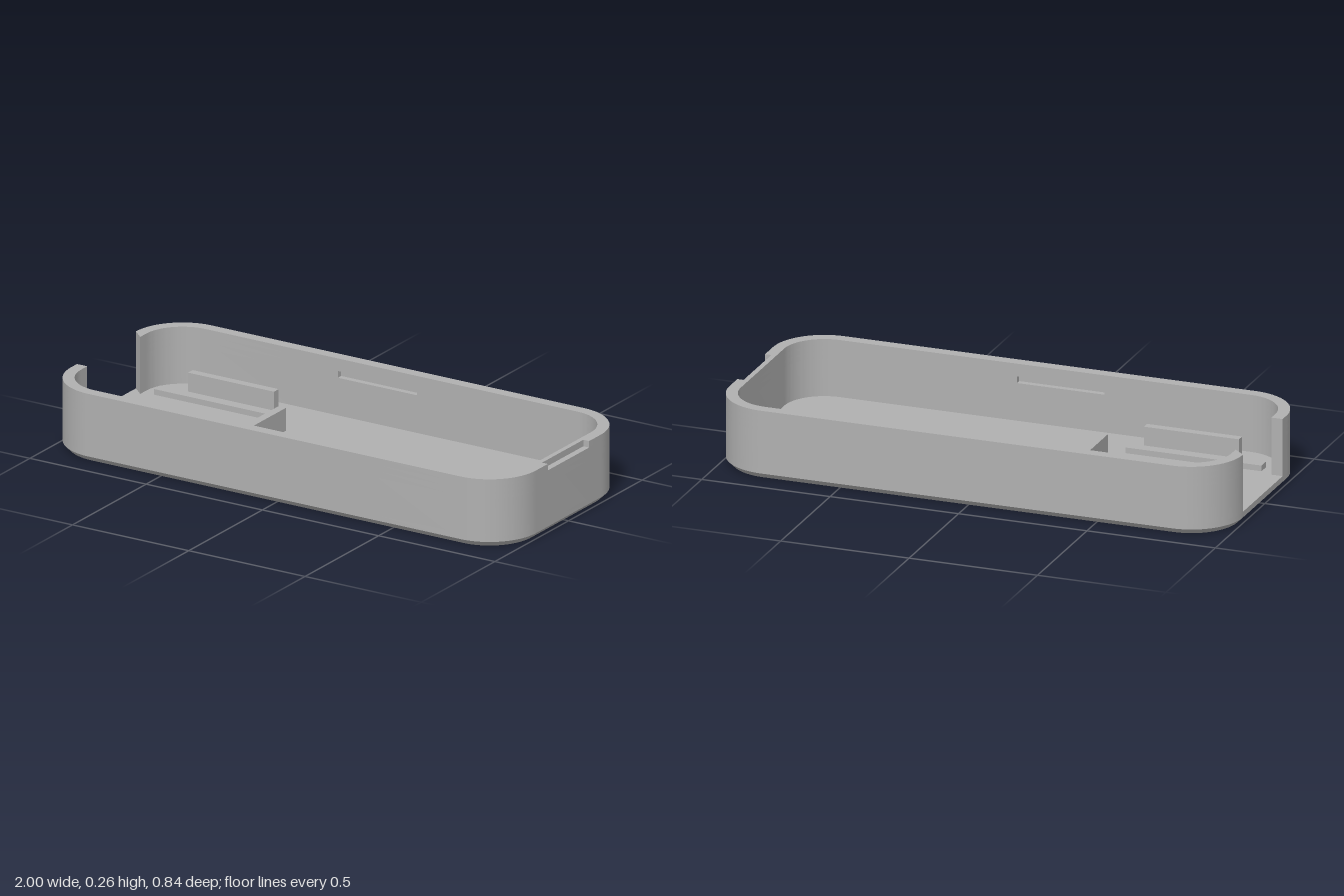
import * as THREE from 'three';
import { toCreasedNormals } from 'three/addons/utils/BufferGeometryUtils.js';

const CX = 0.8, CZ = 0.22;          // corner arc centres
const R = 0.2, WALL = 0.044;        // outer corner radius, wall thickness
const FLOOR = 0.044, TOP = 0.265, CHAMFER = 0.022;
const GAP = 0.18;                   // half width of the open end
const Q = Math.PI / 2;

// Extrude a plan shape upwards between two heights
function extrudeUp(shape, y0, y1, steps = 1) {
  const g = new THREE.ExtrudeGeometry(shape, { depth: y1 - y0, steps, bevelEnabled: false, curveSegments: 16 });
  g.rotateX(-Math.PI / 2);
  g.translate(0, y0, 0);
  return g;
}

// Floor slab with a chamfered lower edge
function baseGeometry() {
  const s = new THREE.Shape();
  s.absarc(CX, CZ, R, 0, Q);
  s.absarc(-CX, CZ, R, Q, 2 * Q);
  s.absarc(-CX, -CZ, R, 2 * Q, 3 * Q);
  s.absarc(CX, -CZ, R, 3 * Q, 4 * Q);
  s.closePath();
  const g = extrudeUp(s, 0, FLOOR, 2);
  const p = g.attributes.position;
  for (let i = 0; i < p.count; i++) {
    if (p.getY(i) > 0.001) continue;
    const x = p.getX(i), z = p.getZ(i);
    const cx = THREE.MathUtils.clamp(x, -CX, CX), cz = THREE.MathUtils.clamp(z, -CZ, CZ);
    const k = (R - CHAMFER) / R;
    p.setXYZ(i, cx + (x - cx) * k, 0, cz + (z - cz) * k);
  }
  return toCreasedNormals(g, 0.5);
}

// C-shaped wall layer, optionally with inner pockets or the outer end notch
function wallGeometry({ y0, y1, pockets, notch }) {
  const r = R - WALL, w = CZ + r, d = w + 0.022;
  const s = new THREE.Shape();
  s.moveTo(-1, GAP);
  s.absarc(-CX, CZ, R, 2 * Q, Q, true);
  s.absarc(CX, CZ, R, Q, 0, true);
  if (notch) [[1, 0.14], [0.975, 0.14], [0.975, -0.14], [1, -0.14]].forEach(([x, y]) => s.lineTo(x, y));
  s.absarc(CX, -CZ, R, 0, -Q, true);
  s.absarc(-CX, -CZ, R, -Q, -2 * Q, true);
  s.lineTo(-1, -GAP);
  s.lineTo(-1 + WALL, -GAP);
  s.absarc(-CX, -CZ, r, 2 * Q, 3 * Q);
  if (pockets) [[-0.23, -w], [-0.23, -d], [0.11, -d], [0.11, -w]].forEach(([x, y]) => s.lineTo(x, y));
  s.absarc(CX, -CZ, r, 3 * Q, 4 * Q);
  s.absarc(CX, CZ, r, 0, Q);
  if (pockets) [[0.11, w], [0.11, d], [-0.23, d], [-0.23, w]].forEach(([x, y]) => s.lineTo(x, y));
  s.absarc(-CX, CZ, r, Q, 2 * Q);
  s.lineTo(-1 + WALL, GAP);
  s.closePath();
  return toCreasedNormals(extrudeUp(s, y0, y1), 0.5);
}

export function createModel() {
  const model = new THREE.Group();
  model.name = 'enclosureTray';
  const plastic = new THREE.MeshStandardMaterial({ color: 0xb0b0b0 });
  plastic.name = 'greyPlastic';

  const add = (name, geometry, parent = model) => {
    const m = new THREE.Mesh(geometry, plastic);
    m.name = name;
    parent.add(m);
    return m;
  };
  // Box standing on the floor, given by its plan extents and top height
  const block = (name, x0, x1, z0, z1, top) => {
    const m = add(name, new THREE.BoxGeometry(x1 - x0, top - FLOOR, z1 - z0));
    m.position.set((x0 + x1) / 2, (top + FLOOR) / 2, (z0 + z1) / 2);
  };

  add('base', baseGeometry());

  // Wall in stacked layers
  const walls = new THREE.Group();
  walls.name = 'walls';
  model.add(walls);
  add('lowerWall', wallGeometry({ y0: FLOOR, y1: 0.19 }), walls);
  add('snapSlotWall', wallGeometry({ y0: 0.19, y1: 0.216, pockets: true }), walls);
  add('upperWall', wallGeometry({ y0: 0.216, y1: 0.24 }), walls);
  add('notchedRim', wallGeometry({ y0: 0.24, y1: TOP, notch: true }), walls);

  // Board holder: low rails, side guides and an end stop
  block('backRail', -0.91, -0.38, -0.244, -0.2, 0.066);
  block('frontRail', -0.91, -0.38, 0.2, 0.244, 0.066);
  block('backGuide', -0.8, -0.43, -0.29, -0.258, 0.133);
  block('frontGuide', -0.8, -0.43, 0.258, 0.29, 0.133);
  block('endStop', -0.336, -0.304, -0.14, 0.14, 0.133);
  return model;
}
